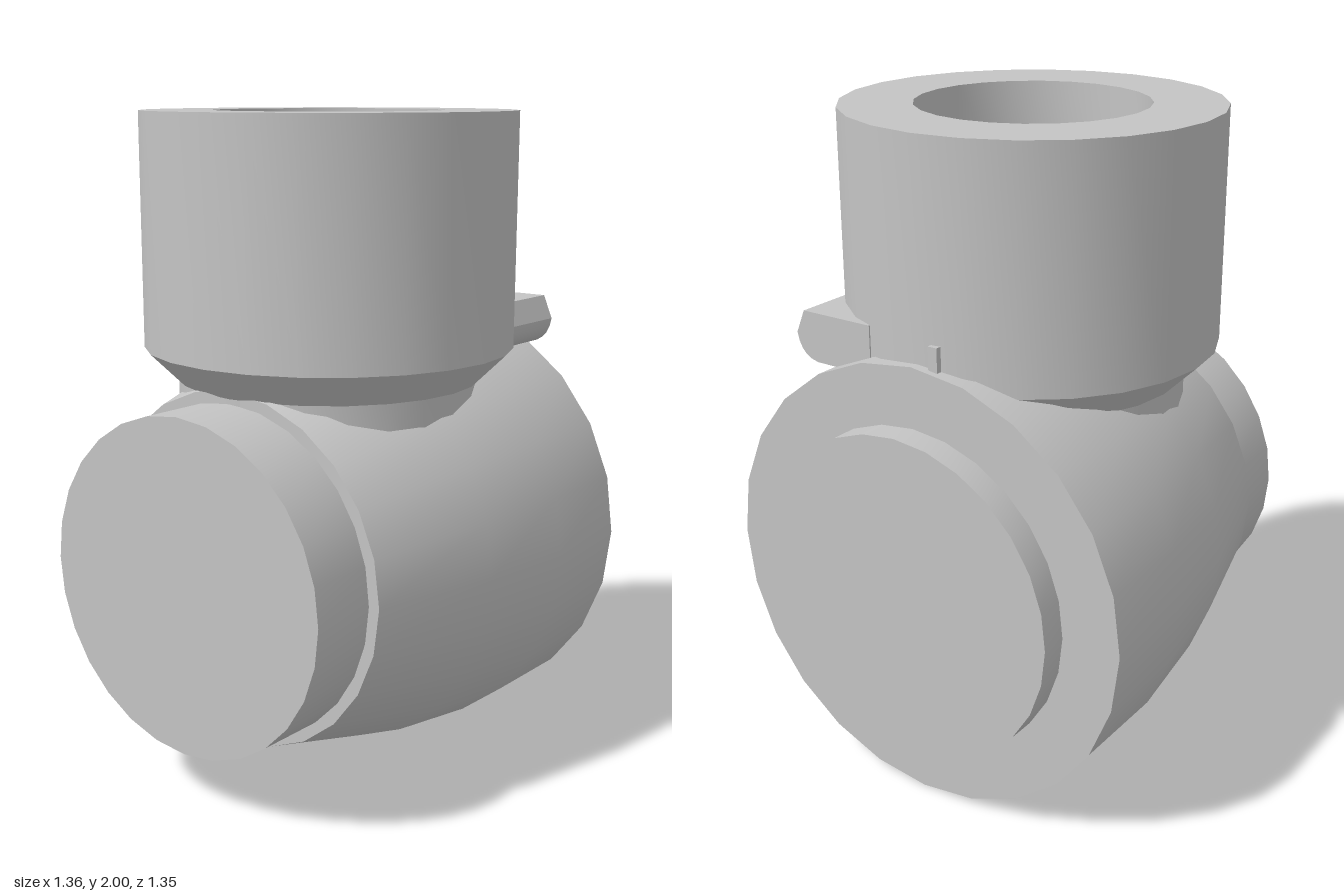
import * as THREE from 'three';
import { toCreasedNormals } from 'three/addons/utils/BufferGeometryUtils.js';

const AXIS_Y = 0.685; // height of the horizontal axis

export function createModel() {
  const group = new THREE.Group();
  const grey = new THREE.MeshStandardMaterial({ color: 0xc4c4c4 });
  grey.name = 'plain grey';

  const add = (name, geometry) => {
    const mesh = new THREE.Mesh(toCreasedNormals(geometry, 0.5), grey);
    mesh.name = name;
    group.add(mesh);
    return mesh;
  };
  // Closed turned solid from [radius, height] pairs, listed bottom to top
  const turned = (profile, segments = 24) =>
    new THREE.LatheGeometry(profile.map(([r, y]) => new THREE.Vector2(r, y)), segments);

  // Horizontal housing, tapering toward the front
  add('housing', turned([
    [0, -0.59], [0.682, -0.59], [0.682, -0.27], [0.64, 0.05], [0.535, 0.455], [0, 0.455],
  ]).rotateX(Math.PI / 2)).position.y = AXIS_Y;

  // Round end caps
  for (const [name, from, to] of [['frontCap', 0.44, 0.675], ['backCap', -0.675, -0.57]]) {
    add(name, turned([[0, from], [0.5, from], [0.5, to], [0, to]], 28)
      .rotateX(Math.PI / 2)).position.y = AXIS_Y;
  }

  // Upright collar with neck, chamfer and shallow round recess
  add('collar', turned([
    [0, 1.0], [0.46, 1.0], [0.46, 1.2], [0.562, 1.3],
    [0.562, 2], [0.345, 2], [0.345, 1.83], [0, 1.83],
  ]));

  // Side lug with a flat top and rounded underside
  const lug = new THREE.Shape();
  lug.moveTo(0.2, 1.28);
  lug.lineTo(0.4, 1.28);
  lug.quadraticCurveTo(0.465, 1.29, 0.475, 1.36);
  lug.lineTo(0.445, 1.43);
  lug.lineTo(0.2, 1.43);
  lug.closePath();
  add('sideLug', new THREE.ExtrudeGeometry(lug, {
    depth: 0.3, bevelEnabled: false, curveSegments: 5,
  })).position.z = -0.525;

  // Small index mark at the back of the collar
  add('indexMark', new THREE.BoxGeometry(0.03, 0.08, 0.04)).position.set(-0.06, 1.39, -0.55);

  return group;
}
